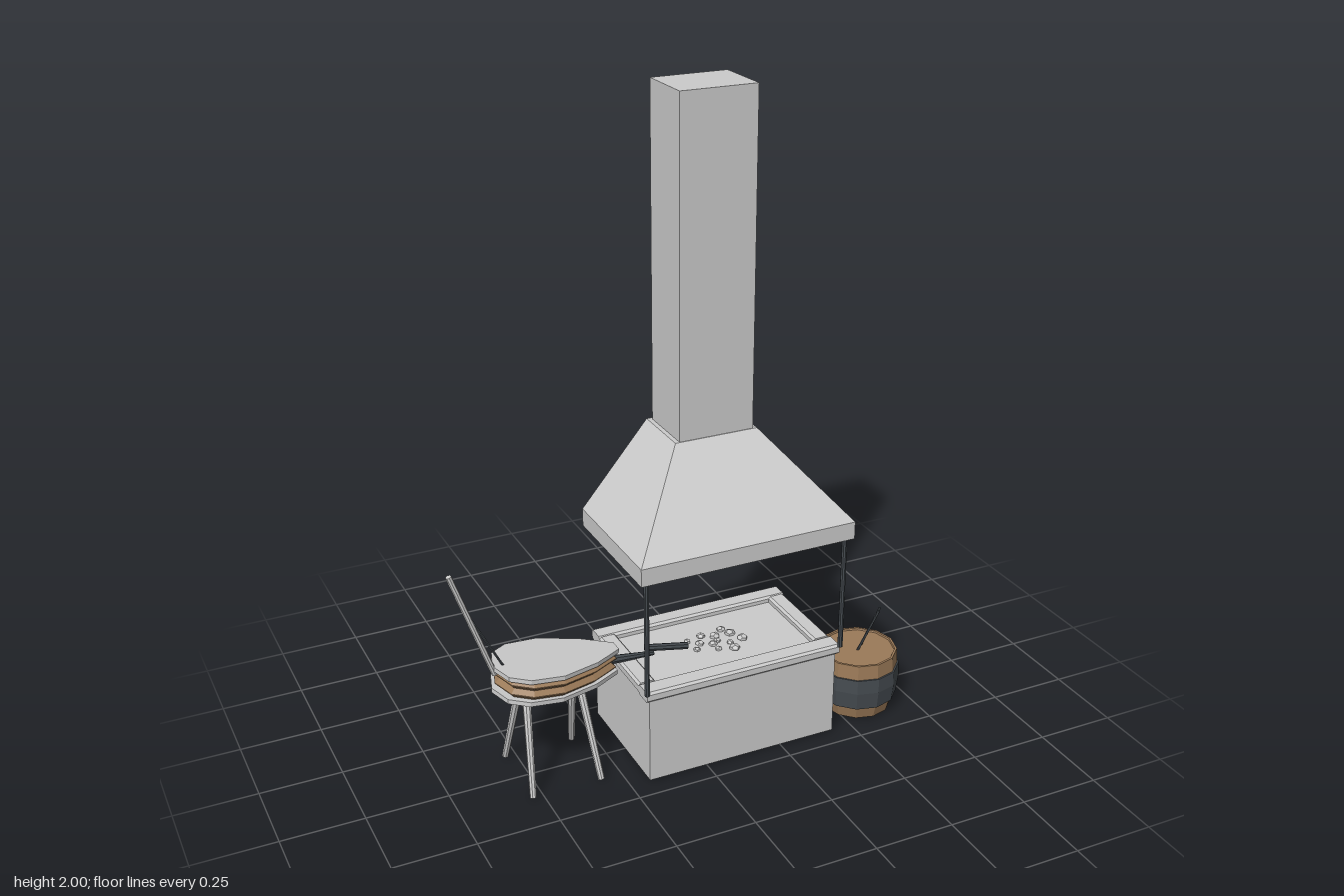
import * as THREE from 'three';

const mat = (color) => new THREE.MeshStandardMaterial({ color, flatShading: true });
const grey = mat(0xcccccc);
const iron = mat(0x454b50);
const wood = mat(0x9b7a58);

function add(parent, name, geometry, material = grey) {
  const mesh = new THREE.Mesh(geometry, material);
  mesh.name = name;
  parent.add(mesh);
  return mesh;
}

// Box given by its lower and upper corners
function block(parent, name, [x0, y0, z0], [x1, y1, z1], material) {
  const m = add(parent, name, new THREE.BoxGeometry(x1 - x0, y1 - y0, z1 - z0), material);
  m.position.set((x0 + x1) / 2, (y0 + y1) / 2, (z0 + z1) / 2);
  return m;
}

// Straight rod between two points, r0 at the start and r1 at the end
function rod(parent, name, a, b, r0, r1, material, sides = 8) {
  const p = new THREE.Vector3(...a), q = new THREE.Vector3(...b);
  const dir = q.clone().sub(p);
  const m = add(parent, name, new THREE.CylinderGeometry(r1, r0, dir.length(), sides), material);
  m.position.copy(p).add(q).multiplyScalar(0.5);
  m.quaternion.setFromUnitVectors(new THREE.Vector3(0, 1, 0), dir.normalize());
  return m;
}

// Chamfered beam: an eight-sided section, long along x or z
function beam(parent, name, lo, hi, alongX) {
  const w = alongX ? hi[2] - lo[2] : hi[0] - lo[0];
  const h = hi[1] - lo[1], len = alongX ? hi[0] - lo[0] : hi[2] - lo[2], c = 0.007;
  const [a, b] = [w / 2, h / 2];
  const shape = new THREE.Shape([[-a + c, -b], [a - c, -b], [a, -b + c], [a, b - c],
    [a - c, b], [-a + c, b], [-a, b - c], [-a, -b + c]].map((p) => new THREE.Vector2(...p)));
  const g = new THREE.ExtrudeGeometry(shape, { depth: len, bevelEnabled: false });
  g.translate(0, 0, -len / 2);
  if (alongX) g.rotateY(Math.PI / 2);
  const m = add(parent, name, g);
  m.position.set((lo[0] + hi[0]) / 2, (lo[1] + hi[1]) / 2, (lo[2] + hi[2]) / 2);
}

function buildHearth() {
  const g = new THREE.Group();
  g.name = 'hearth';
  block(g, 'hearthBase', [-0.19, 0.01, -0.21], [0.43, 0.297, 0.19]);
  beam(g, 'frontRim', [-0.2, 0.283, 0.135], [0.44, 0.316, 0.198], true);
  beam(g, 'backRim', [-0.2, 0.283, -0.214], [0.44, 0.316, -0.155], true);
  beam(g, 'leftRim', [0.385, 0.283, -0.155], [0.44, 0.316, 0.135], false);
  beam(g, 'rightRim', [-0.2, 0.283, -0.155], [-0.145, 0.316, 0.135], false);
  // Coals scattered over the bed
  for (let i = 0; i < 13; i++) {
    const a = i * 2.4, r = 0.024 * Math.sqrt(i);
    const coal = add(g, 'coal', new THREE.DodecahedronGeometry(0.011 + 0.003 * (i % 3)));
    coal.position.set(0.13 + r * Math.cos(a) * 1.2, 0.3, -0.01 + r * Math.sin(a) * 0.8);
    coal.scale.y = 0.7;
    coal.rotation.y = a;
  }
  return g;
}

function buildHood() {
  const g = new THREE.Group();
  g.name = 'hood';
  block(g, 'hoodSkirt', [-0.223, 0.68, -0.21], [0.465, 0.735, 0.215]);
  // Sloping part: a box whose top corners are drawn in
  const slope = new THREE.BoxGeometry(1, 1, 1);
  const p = slope.attributes.position;
  for (let i = 0; i < p.count; i++) {
    const top = p.getY(i) > 0, left = p.getX(i) > 0, front = p.getZ(i) > 0;
    const x = left ? (top ? 0.253 : 0.465) : (top ? -0.011 : -0.223);
    const z = front ? (top ? -0.01 : 0.215) : -0.21;
    p.setXYZ(i, x, top ? 0.988 : 0.735, z);
  }
  slope.computeVertexNormals();
  add(g, 'hoodSlope', slope);
  block(g, 'chimney', [0.003, 0.98, -0.2], [0.24, 2, -0.012]);
  for (const x of [-0.2, 0.442]) rod(g, 'hoodPost', [x, 0.31, 0.197], [x, 0.69, 0.197], 0.008, 0.008, iron);
  return g;
}

function buildBarrel() {
  const g = new THREE.Group();
  g.name = 'barrel';
  const turn = (name, profile, material) =>
    add(g, name, new THREE.LatheGeometry(profile.map((q) => new THREE.Vector2(...q)), 12, Math.PI / 2), material);
  turn('staves', [[0, 0], [0.108, 0], [0.121, 0.05], [0.127, 0.1], [0.125, 0.15], [0.122, 0.19],
    [0.122, 0.195], [0.115, 0.195], [0.113, 0.19], [0, 0.19]], wood);
  turn('band', [[0.119, 0.042], [0.125, 0.042], [0.132, 0.1], [0.13, 0.147], [0.122, 0.147]], iron);
  g.position.set(0.585, 0.01, 0.073);
  rod(g, 'poker', [-0.008, 0.185, 0.008], [0.057, 0.32, 0.021], 0.004, 0.004, iron, 6);
  rod(g, 'poker', [0.01, 0.185, -0.008], [0.072, 0.32, 0.003], 0.004, 0.004, iron, 6);
  return g;
}

// Teardrop outline shared by the boards and the leather
function teardrop(s) {
  const half = [[0.19, 0.02], [0.1, 0.075], [-0.02, 0.117], [-0.12, 0.112], [-0.175, 0.075]];
  const pts = [...half, [-0.198, 0], ...half.map(([x, z]) => [x, -z]).reverse()];
  return new THREE.Shape(pts.map(([x, z]) => new THREE.Vector2(x * s, z * s)));
}

function buildBellows() {
  const g = new THREE.Group();
  g.name = 'bellows';
  const body = new THREE.Group();
  body.name = 'bellowsBody';
  body.position.set(-0.402, 0.344, -0.004);
  body.rotation.z = -0.08;
  g.add(body);
  for (const y of [0.043, -0.029]) {
    const board = new THREE.ExtrudeGeometry(teardrop(1), { depth: 0.014, bevelEnabled: false });
    add(body, 'bellowsBoard', board.rotateX(Math.PI / 2)).position.y = y;
  }
  // Two leather folds, each bulging at mid height
  for (const y of [0.0145, -0.0145]) {
    const fold = new THREE.ExtrudeGeometry(teardrop(0.88), {
      depth: 0.003, bevelThickness: 0.013, bevelSize: 0.014, bevelSegments: 1,
    });
    add(body, 'leatherFold', fold.translate(0, 0, -0.0015).rotateX(Math.PI / 2), wood).position.y = y;
  }
  rod(g, 'nozzle', [-0.23, 0.33, 0], [-0.09, 0.318, 0], 0.014, 0.007, iron);
  rod(g, 'nozzleTip', [-0.115, 0.342, 0], [0.02, 0.318, 0.005], 0.011, 0.011, iron);
  // Lever with its brace
  rod(g, 'lever', [-0.59, 0.375, -0.004], [-0.71, 0.72, -0.004], 0.009, 0.009, grey);
  rod(g, 'leverBrace', [-0.56, 0.39, -0.004], [-0.655, 0.575, -0.004], 0.004, 0.004, iron, 6);
  // Splayed legs
  for (const s of [1, -1]) {
    rod(g, 'bellowsLeg', [-0.508, 0.31, 0.025 * s], [-0.532, 0.008, 0.118 * s], 0.013, 0.01, grey);
    rod(g, 'bellowsLeg', [-0.343, 0.3, 0.025 * s], [-0.316, 0.008, 0.118 * s], 0.013, 0.01, grey);
  }
  return g;
}

export function createModel() {
  const model = new THREE.Group();
  model.name = 'forge';
  model.add(buildHearth(), buildHood(), buildBarrel(), buildBellows());
  return model;
}
